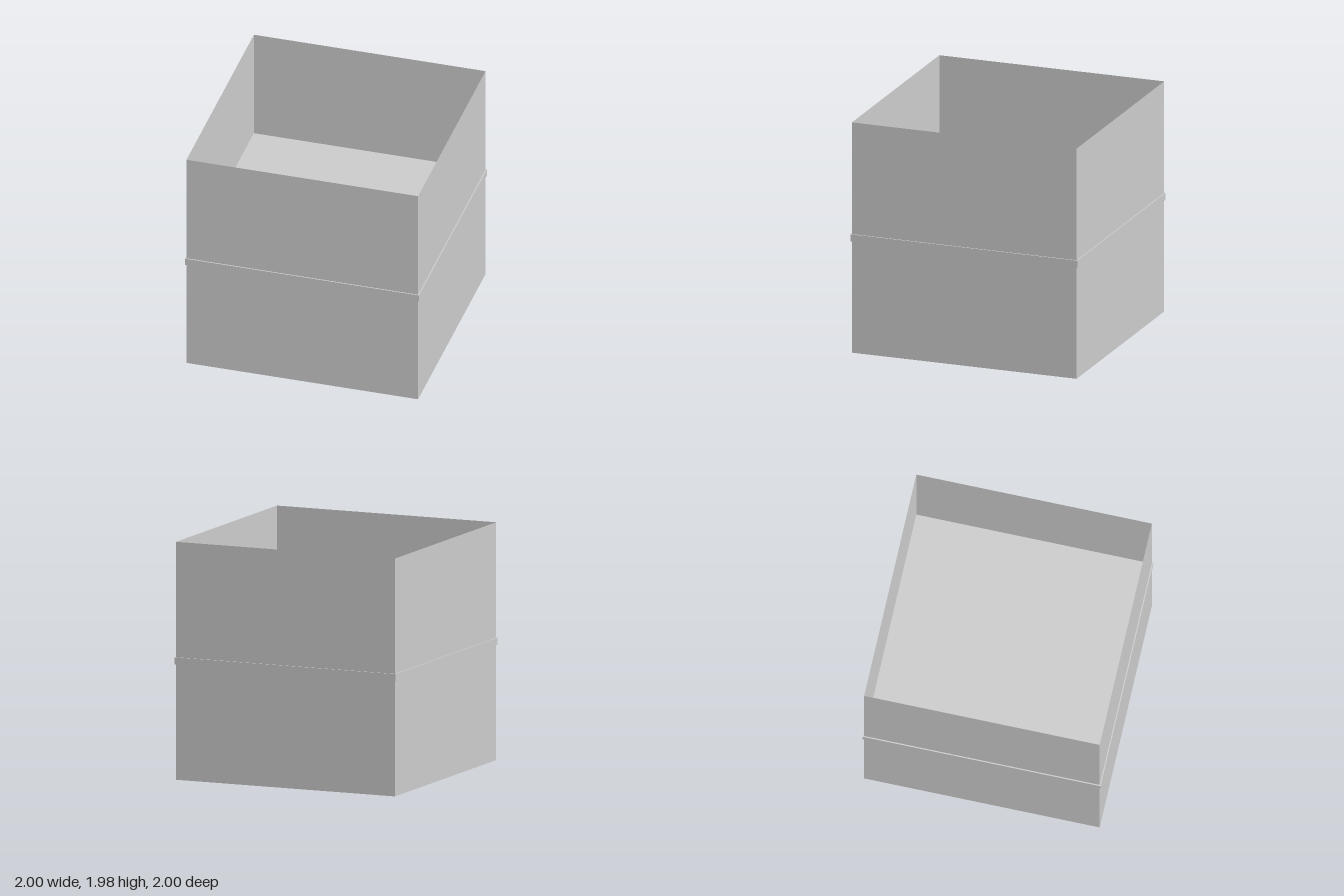
import * as THREE from 'three';

const WALL = 0.99, HEIGHT = 1.98, BAND_LOW = 0.96, BAND_HIGH = 1.02, CEILING = 1.006;

const material = new THREE.MeshStandardMaterial({ color: 0xcccccc, flatShading: true, side: THREE.DoubleSide });

function add(group, name, geometry, y) {
  const mesh = new THREE.Mesh(geometry, material);
  mesh.name = name;
  mesh.position.y = y;
  group.add(mesh);
}

// Square tube or frustum with its sides along x and z
function squareTube(top, bottom, height, open) {
  return new THREE.CylinderGeometry(top * Math.SQRT2, bottom * Math.SQRT2, height, 4, 1, open).rotateY(Math.PI / 4);
}

function squarePath(path, h) {
  path.moveTo(-h, -h).lineTo(h, -h).lineTo(h, h).lineTo(-h, h).closePath();
  return path;
}

export function createModel() {
  const group = new THREE.Group();
  group.name = 'openBox';

  // Thin walls, open above and below
  add(group, 'walls', squareTube(WALL, WALL, HEIGHT, true), HEIGHT / 2);

  // Raised band around the middle
  const ring = squarePath(new THREE.Shape(), 1);
  ring.holes.push(squarePath(new THREE.Path(), WALL));
  const band = new THREE.ExtrudeGeometry(ring, { depth: BAND_HIGH - BAND_LOW, bevelEnabled: false });
  add(group, 'band', band.rotateX(-Math.PI / 2), BAND_LOW);

  // Floor dividing the box into two halves
  const thickness = BAND_HIGH - CEILING;
  add(group, 'floor', new THREE.BoxGeometry(2 * WALL, thickness, 2 * WALL), CEILING + thickness / 2);

  // Very shallow panel under the floor
  add(group, 'undersidePanel', squareTube(0.78, 0.52, 0.006, false), CEILING - 0.003);

  return group;
}
